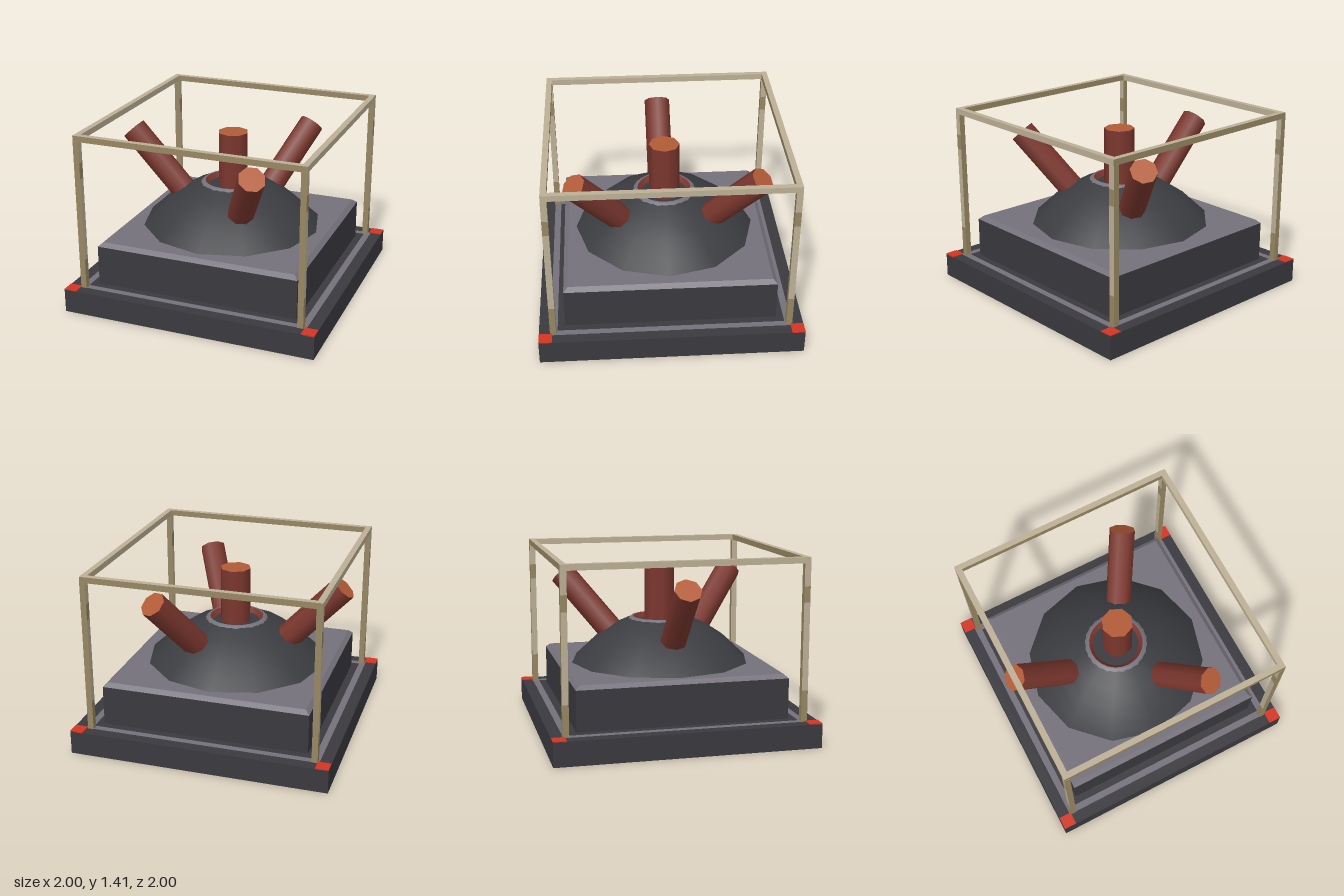
import * as THREE from 'three';

const mat = (name, color, double = false) => {
  const m = new THREE.MeshStandardMaterial({ color });
  m.name = name;
  if (double) m.side = THREE.DoubleSide;
  return m;
};

export function createModel() {
  const root = new THREE.Group();
  root.name = 'cagedTubeLauncher';
  const dark = mat('dark steel', 0x3a393f, true);
  const grey = mat('light steel', 0x75717b, true);
  const domeMat = mat('dome steel', 0x3c3d41, true);
  const red = mat('dull red', 0x7b372e);
  const orange = mat('rust orange', 0xb25b37);
  const bright = mat('bright red', 0xd23523);
  const tan = mat('light tan', 0xbdb096);
  const tanDark = mat('dark tan', 0x978763);

  const add = (name, geo, m, x = 0, y = 0, z = 0, parent = root) => {
    const mesh = new THREE.Mesh(geo, m);
    mesh.name = name;
    mesh.position.set(x, y, z);
    parent.add(mesh);
    return mesh;
  };

  // Square band between two half-widths and heights, open above and below
  const band = (name, m, r0, y0, r1, y1) => {
    const g = new THREE.CylinderGeometry(r1 * Math.SQRT2, r0 * Math.SQRT2, y1 - y0, 4, 1, true);
    g.rotateY(Math.PI / 4);
    const flat = g.toNonIndexed();
    flat.computeVertexNormals();
    add(name, flat, m, 0, (y0 + y1) / 2, 0);
  };

  // Hollow plinth and stepped block
  band('baseWall', dark, 1, 0, 1, 0.185);
  band('baseOuterLedge', dark, 1, 0.185, 0.912, 0.185);
  band('baseInlay', grey, 0.912, 0.185, 0.86, 0.185);
  band('baseInnerLedge', dark, 0.86, 0.185, 0.803, 0.185);
  band('blockWall', dark, 0.803, 0.185, 0.803, 0.495);
  band('blockBevel', grey, 0.803, 0.495, 0.77, 0.525);
  add('blockTop', new THREE.PlaneGeometry(1.54, 1.54).rotateX(-Math.PI / 2), grey, 0, 0.525, 0);

  // Red corner plates
  for (const sx of [-1, 1]) for (const sz of [-1, 1])
    add('cornerPlate', new THREE.BoxGeometry(0.1, 0.009, 0.1), bright, sx * 0.95, 0.186, sz * 0.95);

  // Turned parts: dome, rim, recess
  const turned = (name, m, pts, segs) => add(name,
    new THREE.LatheGeometry(pts.map(p => new THREE.Vector2(...p)), segs), m, -0.015, 0, 0);
  turned('dome', domeMat, [[0, 0.505], [0.71, 0.505], [0.705, 0.527], [0.615, 0.61], [0.515, 0.705],
    [0.37, 0.8], [0.245, 0.858]], 12);
  turned('domeRim', grey, [[0.25, 0.85], [0.225, 0.872], [0.21, 0.872]], 24);
  const recess = turned('recessWall', red.clone(), [[0.21, 0.872], [0.175, 0.83]], 24);
  recess.material = red;
  turned('recessFloor', dark, [[0.18, 0.835], [0, 0.835]], 24);

  // Tubes with orange end faces
  const tube = (name, a, b, r) => {
    const from = new THREE.Vector3(...a), to = new THREE.Vector3(...b);
    const dir = to.clone().sub(from), len = dir.length();
    const g = new THREE.Group();
    g.name = name;
    g.position.copy(from);
    g.quaternion.setFromUnitVectors(new THREE.Vector3(0, 1, 0), dir.normalize());
    add('tubeBody', new THREE.CylinderGeometry(r, r, len, 8), [red, orange, red], 0, len / 2, 0, g);
    root.add(g);
  };
  tube('centreTube', [-0.005, 0.8, 0], [-0.005, 1.272, 0], 0.12);
  tube('rightTube', [-0.38, 0.68, 0.005], [-0.865, 1.195, 0.005], 0.103);
  tube('leftBackTube', [0.165, 0.68, -0.31], [0.413, 1.178, -0.71], 0.103);
  tube('leftFrontTube', [0.165, 0.68, 0.31], [0.413, 1.178, 0.7], 0.103);

  // Cage: weathered dark on the front and back faces, light on sides and top
  const cage = new THREE.Group();
  cage.name = 'cage';
  root.add(cage);
  const bare = [tan, tan, tan, tanDark, tanDark, tanDark];
  const worn = [tanDark, tanDark, tan, tanDark, tanDark, tanDark];
  const px = 0.873, pz = 0.893, w = 0.045;
  const sections = [[0.175, 0.42, worn], [0.42, 1.08, bare], [1.08, 1.2, worn], [1.2, 1.37, bare]];
  for (const sx of [-1, 1]) {
    for (const sz of [-1, 1])
      for (const [y0, y1, m] of sections)
        add('cagePost', new THREE.BoxGeometry(w, y1 - y0, w + 0.002), m,
          sx * px - 0.005, (y0 + y1) / 2, sz * pz, cage);
    add('cageSideRail', new THREE.BoxGeometry(w, w, 2 * pz - w), bare, sx * px - 0.005, 1.39, 0, cage);
  }
  for (const sz of [-1, 1])
    add('cageCrossRail', new THREE.BoxGeometry(2 * px + w, w, w), bare, -0.005, 1.39, sz * pz, cage);

  return root;
}
